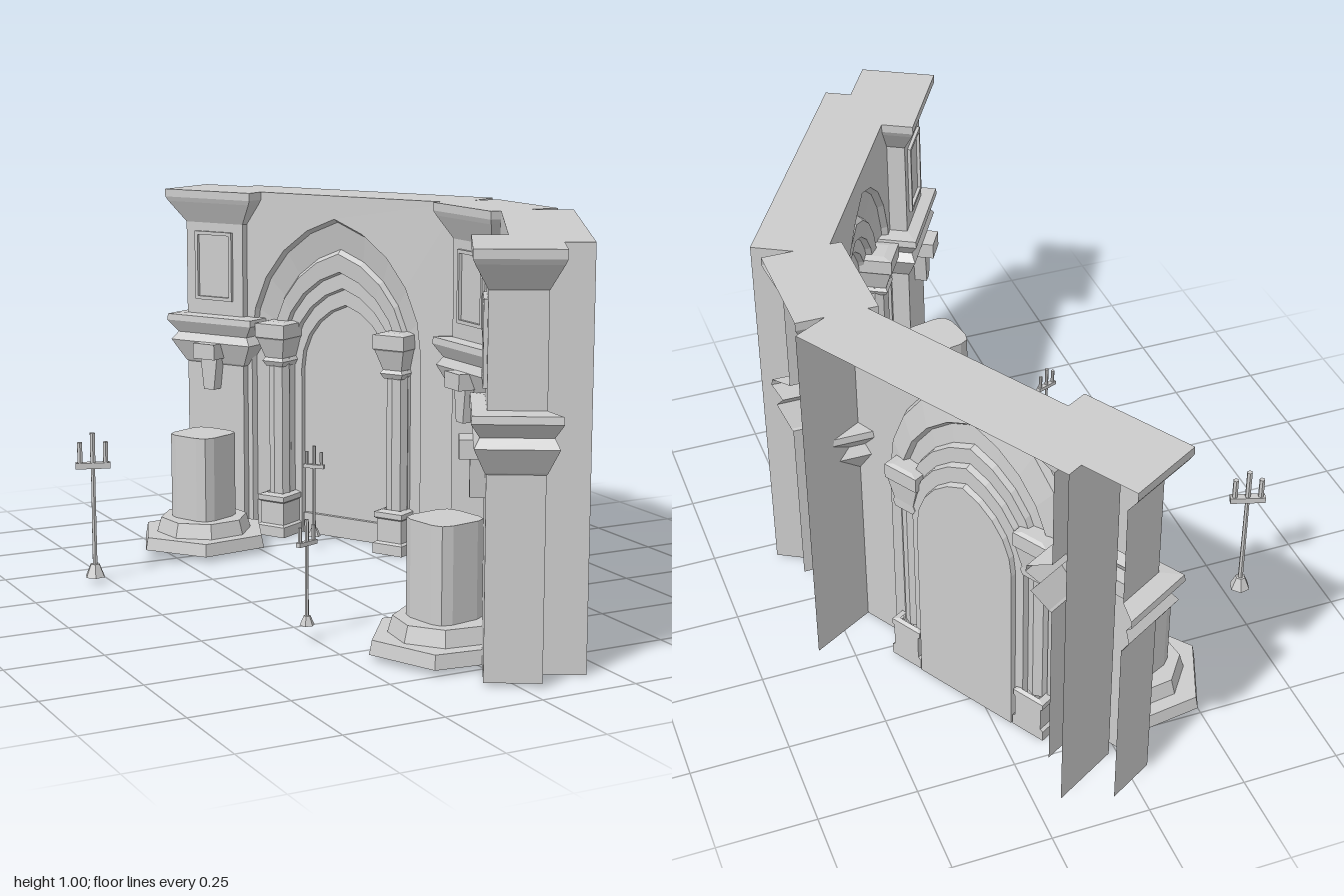
import * as THREE from 'three';

const stone = new THREE.MeshStandardMaterial({ color: 0xcccccc, side: THREE.DoubleSide });
stone.name = 'stone';

function add(parent, name, geometry, x = 0, y = 0, z = 0) {
  const mesh = new THREE.Mesh(geometry, stone);
  mesh.name = name;
  mesh.position.set(x, y, z);
  parent.add(mesh);
  return mesh;
}

function group(parent, name, x = 0, y = 0, z = 0, degrees = 0) {
  const g = new THREE.Group();
  g.name = name;
  g.position.set(x, y, z);
  g.rotation.y = THREE.MathUtils.degToRad(degrees);
  parent.add(g);
  return g;
}

const flat = (geometry) => {
  const g = geometry.index ? geometry.toNonIndexed() : geometry;
  g.computeVertexNormals();
  return g;
};

// Open faceted skin through rows holding equal numbers of [x, y, z] points
function skin(rows) {
  const p = [];
  for (let i = 0; i + 1 < rows.length; i++) {
    for (let j = 0; j + 1 < rows[i].length; j++) {
      const a = rows[i][j], b = rows[i][j + 1], c = rows[i + 1][j + 1], d = rows[i + 1][j];
      p.push(...a, ...b, ...c, ...a, ...c, ...d);
    }
  }
  const g = new THREE.BufferGeometry();
  g.setAttribute('position', new THREE.Float32BufferAttribute(p, 3));
  return flat(g);
}

// Pointed arch outline from the left foot over the peak to the right foot
function archPoints(w, peak, steps = 5) {
  const rise = 1.3 * w, spring = peak - rise;
  const r = (w * w + rise * rise) / (2 * w);
  const end = Math.asin(rise / r);
  const right = [[w, 0]];
  for (let i = 0; i <= steps; i++) {
    const a = (end * i) / steps;
    right.push([w - r + r * Math.cos(a), spring + r * Math.sin(a)]);
  }
  const left = right.slice(0, -1).map(([x, y]) => [-x, y]);
  return [...left, ...right.reverse()];
}

const toShape = (pts) => new THREE.Shape(pts.map(([x, y]) => new THREE.Vector2(x, y)));

function frameShape(w, h, border) {
  const rect = (a, b) => [[-a, -b], [a, -b], [a, b], [-a, b]];
  const s = toShape(rect(w, h));
  s.holes.push(toShape(rect(w - border, h - border)));
  return s;
}

// Square section tapering through [y, halfWidth, front, back] rings
function block(rings) {
  return skin(rings.map(([y, w, f, b]) =>
    [[-w, y, b], [-w, y, f], [w, y, f], [w, y, b], [-w, y, b]]));
}

// Wall bay, open at the back, with a stepped pointed niche
function wallBay(parent, name, x, z, degrees) {
  const bay = group(parent, name, x, 0, z, degrees);
  const W = 0.4, D = 0.19;
  const outer = archPoints(0.285, 0.935);
  add(bay, 'wallFace', new THREE.ShapeGeometry(toShape([[-W, 0], ...outer, [W, 0], [W, 1], [-W, 1]])), 0, 0, D);
  add(bay, 'wallEndsAndTop', skin([0, D].map((d) => [[-W, 0, d], [-W, 1, d], [W, 1, d], [W, 0, d]])));

  // Receding arch mouldings: half width, peak height, depth
  const steps = [
    [0.285, 0.935, D], [0.28, 0.925, 0.172], [0.232, 0.847, 0.155], [0.226, 0.835, 0.17],
    [0.202, 0.783, 0.165], [0.2, 0.778, 0.148], [0.177, 0.735, 0.148], [0.174, 0.73, 0.132],
    [0.15, 0.685, 0.132], [0.148, 0.68, 0.118],
  ];
  add(bay, 'archMouldings', skin(steps.map(([w, p, d]) => archPoints(w, p).map(([a, b]) => [a, b, d]))));
  add(bay, 'nicheBack', new THREE.ShapeGeometry(toShape(archPoints(0.148, 0.68))), 0, 0, 0.118);
  add(bay, 'sill', new THREE.BoxGeometry(0.29, 0.06, 0.012), 0, 0.03, 0.124);

  // Columns with plinths and capitals on both jambs
  for (const side of [-1, 1]) {
    const column = group(bay, 'jambColumn', side * 0.2);
    add(column, 'plinth', block([
      [0, 0.048, 0.225, 0.12], [0.03, 0.048, 0.225, 0.12], [0.035, 0.04, 0.215, 0.12],
      [0.1, 0.04, 0.215, 0.12], [0.105, 0.046, 0.222, 0.12], [0.12, 0.046, 0.222, 0.12], [0.125, 0.028, 0.2, 0.13],
    ]));
    add(column, 'shaft', flat(new THREE.CylinderGeometry(0.032, 0.032, 0.41, 8)), 0, 0.32, 0.17);
    add(column, 'capital', block([
      [0.5, 0.028, 0.2, 0.13], [0.515, 0.036, 0.208, 0.13], [0.525, 0.03, 0.202, 0.13], [0.58, 0.046, 0.22, 0.125],
      [0.585, 0.05, 0.225, 0.12], [0.625, 0.05, 0.225, 0.12], [0.63, 0.03, 0.2, 0.13], [0.63, 0, 0.165, 0.165],
    ]));
  }
}

// Pier, open at the back, with a moulded band and flared head
function pier(parent, name, x, z, degrees) {
  const g = group(parent, name, x, 0, z, degrees);
  const profile = [
    [0.01, 0], [0.492, 0], [0.497, 0.1], [0.557, 0.8], [0.58, 0.45], [0.615, 1],
    [0.633, 0.95], [0.637, 0], [0.905, 0], [0.965, 0.85], [0.978, 1], [1, 1],
  ];
  add(g, 'pierBody', skin(profile.map(([y, f]) => {
    const w = 0.1 + 0.05 * f, d = 0.067 + 0.0355 * f;
    return [[-w, y, -d], [-w, y, d], [w, y, d], [w, y, -d]];
  })));
  add(g, 'pierTop', new THREE.PlaneGeometry(0.3, 0.205).rotateX(-Math.PI / 2), 0, 1, 0);
  const frame = new THREE.ExtrudeGeometry(frameShape(0.065, 0.1, 0.01), { depth: 0.009, bevelEnabled: false });
  add(g, 'plaqueFrame', frame, 0, 0.78, 0.067);

  // Keystone bracket beneath the band
  add(g, 'bracketHead', new THREE.BoxGeometry(0.075, 0.045, 0.07), 0, 0.535, 0.092);
  const key = toShape([[-0.018, 0], [0.018, 0], [0.03, 0.1], [-0.03, 0.1]]);
  add(g, 'bracketStem', new THREE.ExtrudeGeometry(key, { depth: 0.035, bevelEnabled: false }), 0, 0.42, 0.067);
}

// Hexagonal plinth, octagonal tier and a chamfered square shaft
function pedestal(parent, x, z, degrees) {
  const g = group(parent, 'pedestal', x, 0.015, z, degrees);
  const hex = flat(new THREE.CylinderGeometry(0.185, 0.192, 0.035, 6));
  add(g, 'hexagonalPlinth', hex, 0, 0.0175, 0).rotation.y = Math.PI / 6;
  const tier = flat(new THREE.CylinderGeometry(0.123, 0.135, 0.042, 8));
  add(g, 'octagonalTier', tier, 0, 0.055, 0).rotation.y = Math.PI / 8;
  const a = 0.074, b = 0.038, c = 0.064;
  const section = toShape([[a, -b], [a, b], [c, c], [b, a], [-b, a], [-c, c],
    [-a, b], [-a, -b], [-c, -c], [-b, -a], [b, -a], [c, -c]]);
  const shaft = new THREE.ExtrudeGeometry(section, { depth: 0.24, bevelEnabled: false }).rotateX(-Math.PI / 2);
  add(g, 'shaft', shaft, 0, 0.075, 0).rotation.y = 0.3;
}

// Three-candle stand
function candleStand(parent, x, y, z, degrees, s) {
  const g = group(parent, 'candleStand', x, y, z, degrees);
  g.scale.setScalar(s);
  add(g, 'foot', flat(new THREE.CylinderGeometry(0.013, 0.028, 0.035, 6)), 0, 0.0175, 0);
  add(g, 'stem', flat(new THREE.CylinderGeometry(0.006, 0.007, 0.28, 6)), 0, 0.165, 0);
  add(g, 'crossbar', new THREE.BoxGeometry(0.092, 0.016, 0.02), 0, 0.305, 0);
  for (const i of [-1, 0, 1]) {
    const h = i ? 0.055 : 0.08;
    add(g, 'candle', flat(new THREE.CylinderGeometry(0.0075, 0.0075, h, 6)), i * 0.034, 0.313 + h / 2, 0);
  }
}

export function createModel() {
  const model = new THREE.Group();
  model.name = 'archedWall';
  wallBay(model, 'frontBay', 0.385, 0.551, -120);
  wallBay(model, 'rearBay', 0.385, -0.546, -60);
  pier(model, 'centrePier', 0.47, 0, -90);
  pier(model, 'frontPier', 0.036, 0.81, -120);
  pier(model, 'rearPier', 0.059, -0.82, -60);
  pedestal(model, -0.02, 0.595, -6);
  pedestal(model, -0.125, -0.595, 8);
  candleStand(model, -0.54, 0.015, -0.372, -18, 1);
  candleStand(model, -0.27, 0.04, 0.365, 20, 0.67);
  candleStand(model, 0.153, 0.03, -0.445, -48, 0.67);
  return model;
}
